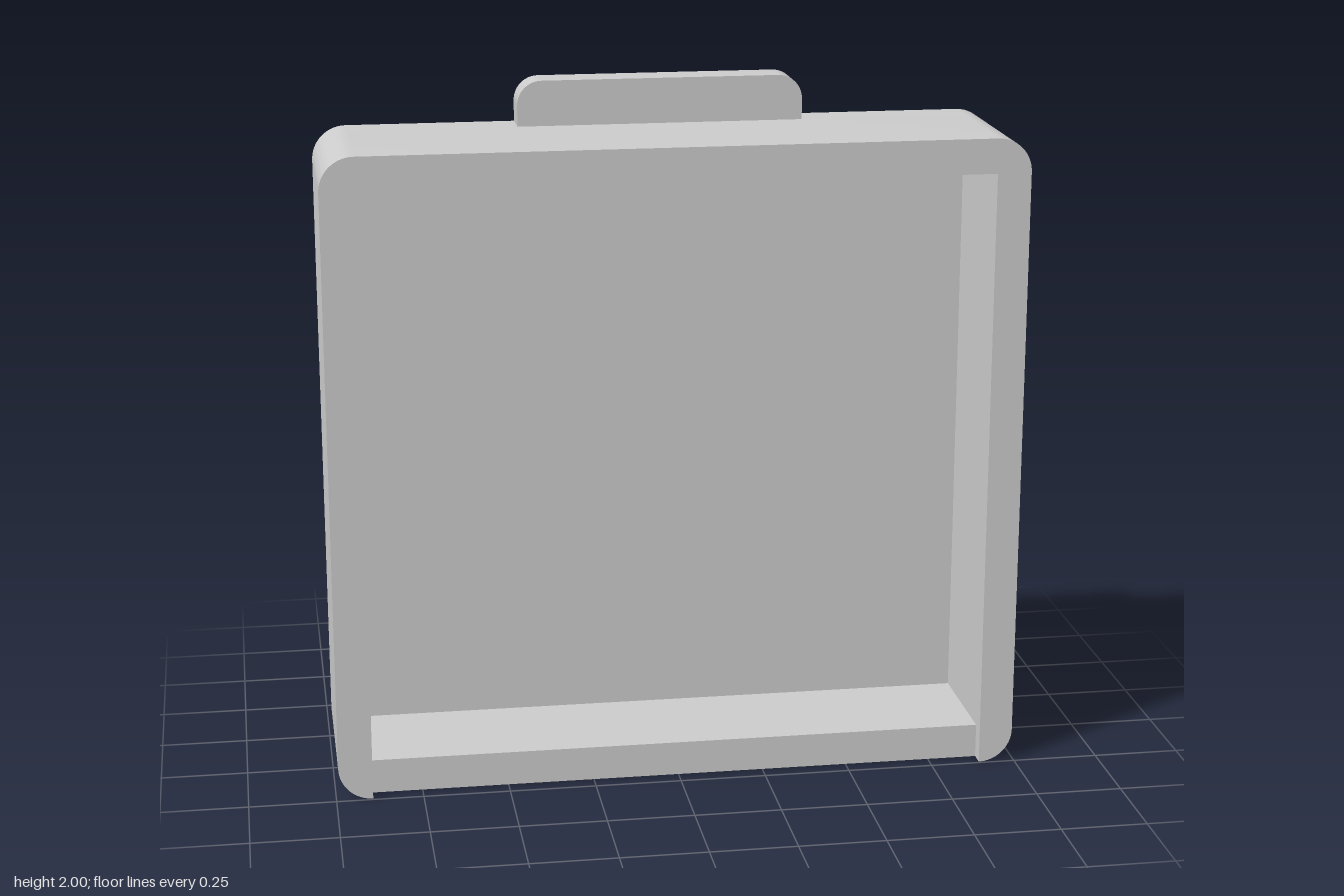
import * as THREE from 'three';
import { toCreasedNormals } from 'three/addons/utils/BufferGeometryUtils.js';

const W = 0.9925, H = 1.87, R = 0.0975;       // outer half width, height, corner radius
const INNER = W - R, FLOOR = 0.1, CEIL = 1.77; // recess limits
const BACK = -0.243, PANEL = -0.143, FRONT = 0.243, SILL = 0.2;
const TAB_W = 0.412, TAB_TOP = 2, TAB_R = 0.07;

export function createModel() {
  const group = new THREE.Group();
  const grey = new THREE.MeshStandardMaterial({ color: 0xcccccc });
  grey.name = 'grey';

  const add = (name, geometry) => {
    const mesh = new THREE.Mesh(geometry, grey);
    mesh.name = name;
    group.add(mesh);
    return mesh;
  };
  const extrude = (shape, z0, z1) => {
    const g = new THREE.ExtrudeGeometry(shape, { depth: z1 - z0, bevelEnabled: false, curveSegments: 12 });
    g.translate(0, 0, z0);
    return toCreasedNormals(g, 0.6);
  };
  const q = Math.PI / 2;

  // back panel with the rounded tab rising from its top edge
  const back = new THREE.Shape();
  back.moveTo(-INNER, 0);
  back.absarc(INNER, R, R, -q, 0);
  back.absarc(INNER, H - R, R, 0, q);
  back.lineTo(TAB_W, H);
  back.absarc(TAB_W - TAB_R, TAB_TOP - TAB_R, TAB_R, 0, q);
  back.absarc(-TAB_W + TAB_R, TAB_TOP - TAB_R, TAB_R, q, 2 * q);
  back.lineTo(-TAB_W, H);
  back.absarc(-INNER, H - R, R, q, 2 * q);
  back.absarc(-INNER, R, R, 2 * q, 3 * q);
  add('backPanelWithTab', extrude(back, BACK, PANEL));

  // side and top walls as one arch
  const walls = new THREE.Shape();
  walls.moveTo(INNER, 0);
  walls.absarc(INNER, R, R, -q, 0);
  walls.absarc(INNER, H - R, R, 0, q);
  walls.absarc(-INNER, H - R, R, q, 2 * q);
  walls.absarc(-INNER, R, R, 2 * q, 3 * q);
  walls.lineTo(-INNER, CEIL);
  walls.lineTo(INNER, CEIL);
  add('sideAndTopWalls', extrude(walls, PANEL, FRONT));

  // bottom wall, set back slightly from the front
  const sill = add('bottomWall', new THREE.BoxGeometry(2 * INNER, FLOOR, SILL - PANEL));
  sill.position.set(0, FLOOR / 2, (SILL + PANEL) / 2);

  return group;
}
